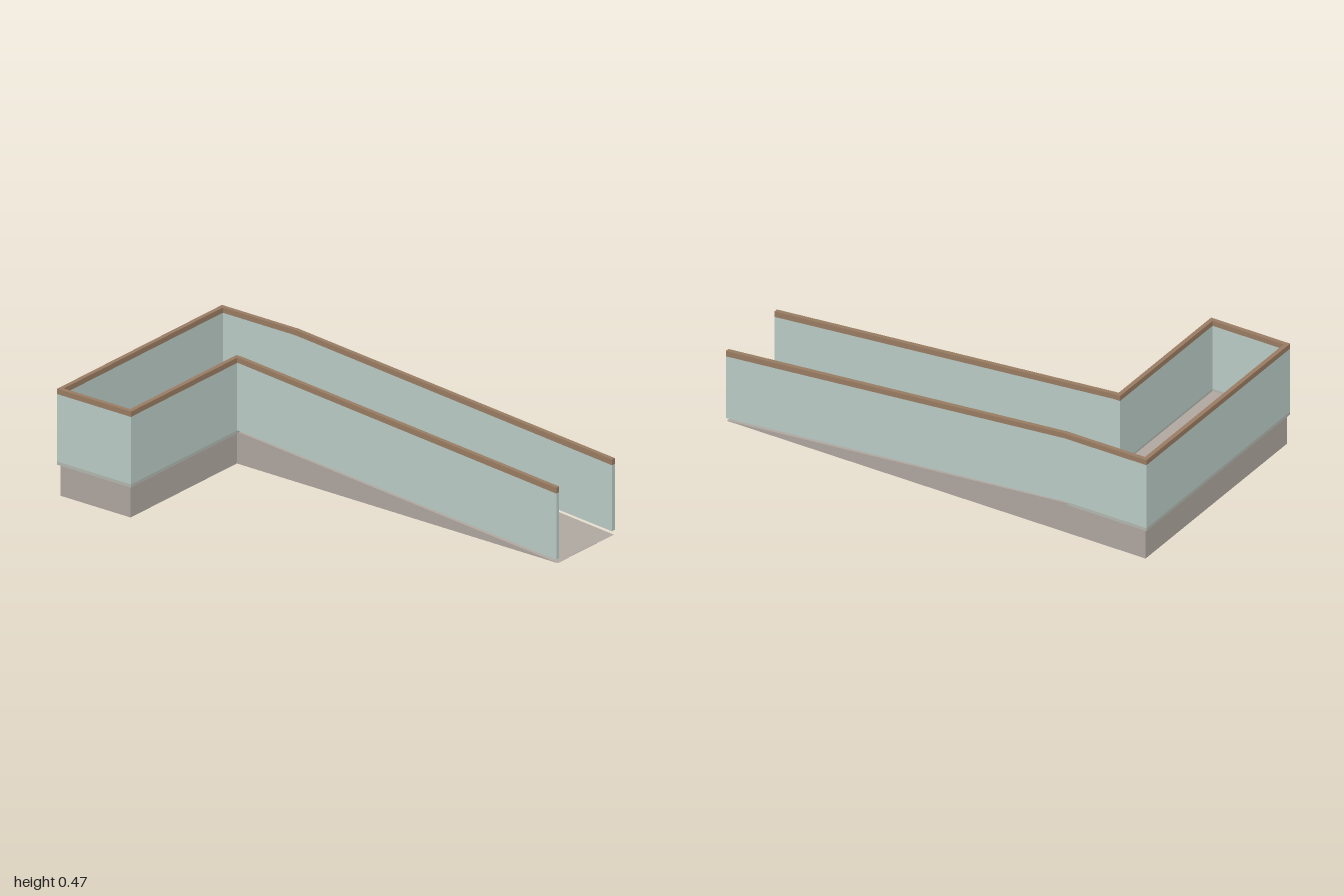
import * as THREE from 'three';

export function createModel() {
  const group = new THREE.Group();
  const mat = (name, color) => {
    const m = new THREE.MeshStandardMaterial({ color });
    m.name = name;
    return m;
  };
  const concrete = mat('concrete', 0xaea69f);
  const glass = mat('paleGlass', 0xb8cac4);
  const wood = mat('brownRail', 0x987b62);
  const trim = mat('greyTrim', 0xb1b6ae);

  const add = (name, geometry, material) => {
    const mesh = new THREE.Mesh(geometry, material);
    mesh.name = name;
    group.add(mesh);
  };
  // Box given by its limits on each axis
  const box = (name, material, [x0, x1], [y0, y1], [z0, z1]) => {
    const g = new THREE.BoxGeometry(x1 - x0, y1 - y0, z1 - z0);
    g.translate((x0 + x1) / 2, (y0 + y1) / 2, (z0 + z1) / 2);
    add(name, g, material);
  };
  // Side profile of [z, y] points, extruded across x
  const profile = (name, material, points, [x0, x1]) => {
    const shape = new THREE.Shape(points.map(([z, y]) => new THREE.Vector2(-z, y)));
    const g = new THREE.ExtrudeGeometry(shape, { depth: x1 - x0, bevelEnabled: false });
    g.rotateY(Math.PI / 2).translate(x0, 0, 0);
    add(name, g, material);
  };

  const T = 0.019;                      // wall thickness
  const LOW = 0.136, KICK = 0.15, RAIL = 0.445, TOP = 0.468;
  const BACK = -1, FRONT = -0.624, BEND = -0.61;

  // L-shaped base: level landing and sloping ramp
  box('landing', concrete, [-0.528, 0.528], [0, 0.14], [-0.99, -0.633]);
  profile('ramp', concrete, [[-0.633, 0], [-0.633, 0.14], [1, 0.001], [1, 0]], [0.164, 0.528]);

  // Straight wall of the landing: trim, panel and handrail
  const levelWall = (name, x, z) => {
    box(name + 'Trim', trim, x, [LOW, KICK], z);
    box(name + 'Panel', glass, x, [KICK, RAIL], z);
    box(name + 'Rail', wood, x, [RAIL, TOP], z);
  };
  levelWall('backWall', [-0.537, 0.537], [BACK, BACK + T]);
  levelWall('endWall', [-0.537, -0.537 + T], [BACK + T, FRONT - T]);
  levelWall('frontWall', [-0.537, 0.155], [FRONT - T, FRONT]);

  // Walls following the ramp; the outer one runs on along the landing
  const rampWall = (name, x, zEnd) => {
    profile(name + 'Panel', glass,
      [[1, 0.018], [1, 0.307], [BEND, RAIL], [zEnd, RAIL], [zEnd, KICK], [BEND, KICK]], x);
    profile(name + 'Rail', wood,
      [[1, 0.307], [1, 0.332], [BEND, TOP], [zEnd, TOP], [zEnd, RAIL], [BEND, RAIL]], x);
    box(name + 'Trim', trim, x, [LOW, KICK], [zEnd, FRONT]);
  };
  rampWall('innerRampWall', [0.155, 0.155 + T], FRONT - T);
  rampWall('outerRampWall', [0.537 - T, 0.537], BACK + T);

  return group;
}
